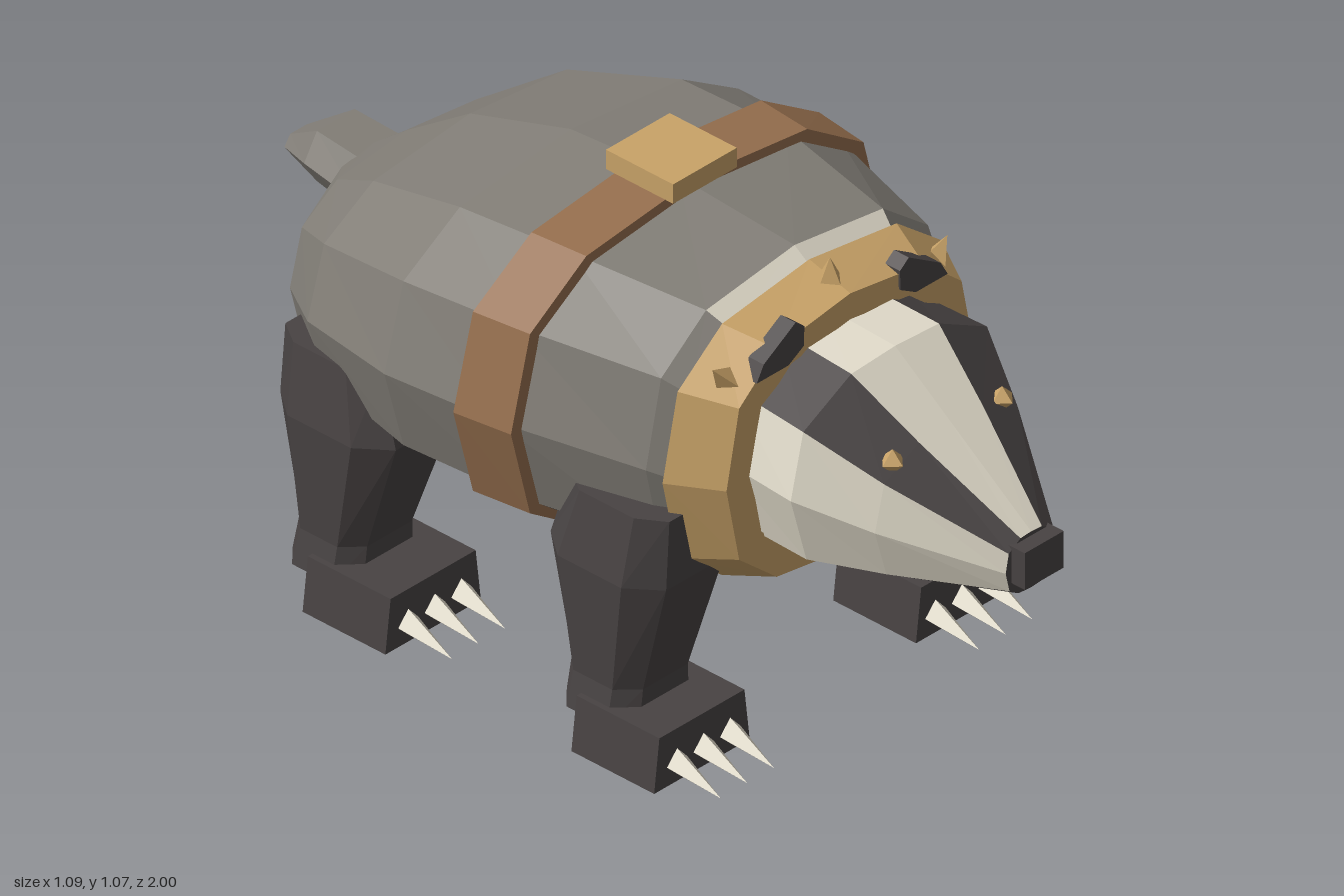
import * as THREE from 'three';

const paint = (name, color) => {
  const m = new THREE.MeshStandardMaterial({ color, flatShading: true });
  m.name = name;
  return m;
};

export function createModel() {
  const model = new THREE.Group();
  model.name = 'badger';
  const grey = paint('grey fur', 0x827e77);
  const dark = paint('dark fur', 0x484343);
  const cream = paint('cream fur', 0xe2dccb);
  const gold = paint('gold', 0xc9a368);
  const brown = paint('brown leather', 0x966f4e);

  const add = (name, geometry, material, parent = model) => {
    const mesh = new THREE.Mesh(geometry, material);
    mesh.name = name;
    parent.add(mesh);
    return mesh;
  };

  // Rounded-square cross-section facing +z
  const soft = (v) => Math.sign(v) * Math.abs(v) ** 0.75;
  const ring = ([z, w, cy, h], sides = 12) => Array.from({ length: sides }, (_, j) => {
    const a = (j / sides) * Math.PI * 2;
    return new THREE.Vector3(w * soft(Math.cos(a)), cy + h * soft(Math.sin(a)), z);
  });

  // Skin a list of rings; pick(face, span) chooses the material, one mesh each
  const loft = (name, rings, pick, caps = true, parent = model) => {
    const buckets = new Map();
    const tri = (mat, ...pts) => {
      if (!buckets.has(mat)) buckets.set(mat, []);
      buckets.get(mat).push(...pts);
    };
    const n = rings[0].length;
    const last = rings.length - 1;
    for (let i = 0; i < last; i++) {
      for (let j = 0; j < n; j++) {
        const k = (j + 1) % n;
        const [a, b, c, d] = [rings[i][j], rings[i][k], rings[i + 1][k], rings[i + 1][j]];
        tri(pick(j, i), a, b, c, a, c, d);
      }
    }
    if (caps) {
      for (const i of [0, last]) {
        const mid = rings[i].reduce((s, p) => s.add(p), new THREE.Vector3()).divideScalar(n);
        for (let j = 0; j < n; j++) {
          const k = (j + 1) % n;
          tri(pick(j, i), mid, rings[i][i ? j : k], rings[i][i ? k : j]);
        }
      }
    }
    for (const [mat, pts] of buckets) {
      const g = new THREE.BufferGeometry().setFromPoints(pts);
      g.computeVertexNormals();
      add(`${name} ${mat.name}`, g, mat, parent);
    }
  };

  // Body with dark belly and a pale patch at the nape
  const body = [
    [-0.8, 0.15, 0.585, 0.135], [-0.71, 0.33, 0.58, 0.21], [-0.54, 0.46, 0.64, 0.265],
    [-0.27, 0.527, 0.67, 0.32], [0.02, 0.51, 0.68, 0.33], [0.33, 0.42, 0.665, 0.325],
    [0.38, 0.39, 0.65, 0.305],
  ];
  loft('body', body.map((s) => ring(s)), (j, i) => {
    if (j >= 7 && j <= 10) return dark;
    return i >= 5 && (j === 2 || j === 3) ? cream : grey;
  });

  // Tail
  loft('tail', [[-1, 0.04, 0.64, 0.025], [-0.9, 0.09, 0.67, 0.065], [-0.74, 0.1, 0.65, 0.075]]
    .map((s) => ring(s, 6)), () => grey);

  // Striped head
  const half = [[0, 1], [0.42, 0.97], [0.88, 0.65], [1, 0], [0.85, -0.7], [0.5, -0.95], [0, -1]];
  const outline = [
    ...half.slice(0, 4).reverse(),
    ...half.slice(1).map(([x, y]) => [-x, y]),
    ...half.slice(4, 6).reverse(),
  ];
  const headSections = [
    [0.4, 0.28, 0.655, 0.23], [0.6, 0.295, 0.655, 0.222],
    [0.75, 0.215, 0.61, 0.157], [0.965, 0.072, 0.545, 0.065],
  ];
  loft('head', headSections.map(([z, w, cy, h]) =>
    outline.map(([x, y]) => new THREE.Vector3(x * w, cy + y * h, z))), (j, i) => {
    if (i === 3 || j === 1 || j === 4 || (j >= 7 && j <= 10)) return dark;
    return cream;
  });
  add('nose', new THREE.BoxGeometry(0.11, 0.085, 0.06), dark).position.set(0, 0.558, 0.97);

  // Collar and belt are closed bands
  loft('collar', [[0.37, 0.33, 0.65, 0.26], [0.37, 0.415, 0.65, 0.325],
    [0.48, 0.35, 0.65, 0.295], [0.48, 0.28, 0.65, 0.235]].map((s) => ring(s)), () => gold, false);
  loft('belt', [[-0.068, 0.49, 0.68, 0.31], [-0.068, 0.545, 0.68, 0.35],
    [0.068, 0.525, 0.68, 0.35], [0.068, 0.48, 0.68, 0.31]].map((s) => ring(s)), () => brown, false);
  add('buckle', new THREE.BoxGeometry(0.18, 0.045, 0.18), gold).position.set(0, 1.043, 0);

  // Collar spikes
  for (const [x, y, tilt] of [[0, 0.972, 0], [0.31, 0.875, -0.75], [-0.31, 0.875, 0.75]]) {
    const spike = add('collarSpike', new THREE.ConeGeometry(0.036, 0.065, 4), gold);
    spike.position.set(x, y, 0.425);
    spike.rotation.z = tilt;
  }

  // Ears and eyes
  for (const s of [1, -1]) {
    const pts = [[0.27, 0.865], [0.25, 0.9], [0.16, 0.955], [0.135, 0.935], [0.137, 0.89], [0.18, 0.865]];
    const shape = new THREE.Shape(pts.map(([x, y]) => new THREE.Vector2(s * x, y)));
    add('ear', new THREE.ExtrudeGeometry(shape, { depth: 0.04, bevelEnabled: false }), dark).position.z = 0.445;
    add('eye', new THREE.OctahedronGeometry(0.028), gold).position.set(s * 0.155, 0.745, 0.74);
  }

  // Legs: rows are height, inner x, outer x, back z, front z
  const chamfer = [[1, -0.55], [1, 0.55], [0.6, 1], [-0.6, 1], [-1, 0.55], [-1, -0.55], [-0.6, -1], [0.6, -1]];
  const legRing = (side, [y, x0, x1, z0, z1]) => chamfer.map(([u, v]) => new THREE.Vector3(
    side * (x0 + x1) / 2 + u * (x1 - x0) / 2, y, (z0 + z1) / 2 - v * (z1 - z0) / 2));
  const frontLeg = [
    [0.08, 0.25, 0.485, 0.135, 0.33], [0.16, 0.26, 0.47, 0.14, 0.33],
    [0.42, 0.215, 0.485, 0.085, 0.395], [0.575, 0.27, 0.46, 0.13, 0.395],
  ];
  const rearLeg = [
    [0.08, 0.25, 0.485, -0.6, -0.41], [0.16, 0.26, 0.47, -0.59, -0.41],
    [0.42, 0.215, 0.485, -0.64, -0.33], [0.575, 0.27, 0.46, -0.635, -0.38],
  ];
  for (const side of [1, -1]) {
    for (const [name, rows, toe] of [['frontLeg', frontLeg, 0.433], ['rearLeg', rearLeg, -0.288]]) {
      const leg = new THREE.Group();
      leg.name = name;
      model.add(leg);
      loft(name, rows.map((r) => legRing(side, r)), () => dark, true, leg);

      // Foot, slightly narrower on top
      const foot = new THREE.BoxGeometry(0.27, 0.122, 0.222);
      const p = foot.attributes.position;
      for (let i = 0; i < p.count; i++) if (p.getY(i) > 0) p.setX(i, p.getX(i) * 0.89);
      foot.computeVertexNormals();
      add('foot', foot, dark, leg).position.set(side * 0.37, 0.061, toe - 0.111);

      // Three claws
      for (const dx of [-0.075, 0, 0.075]) {
        const claw = add('claw', new THREE.ConeGeometry(0.033, 0.14, 4), cream, leg);
        claw.position.set(side * 0.365 + dx, 0.03, toe + 0.05);
        claw.rotation.x = Math.PI / 2 + 0.27;
      }
    }
  }
  return model;
}
